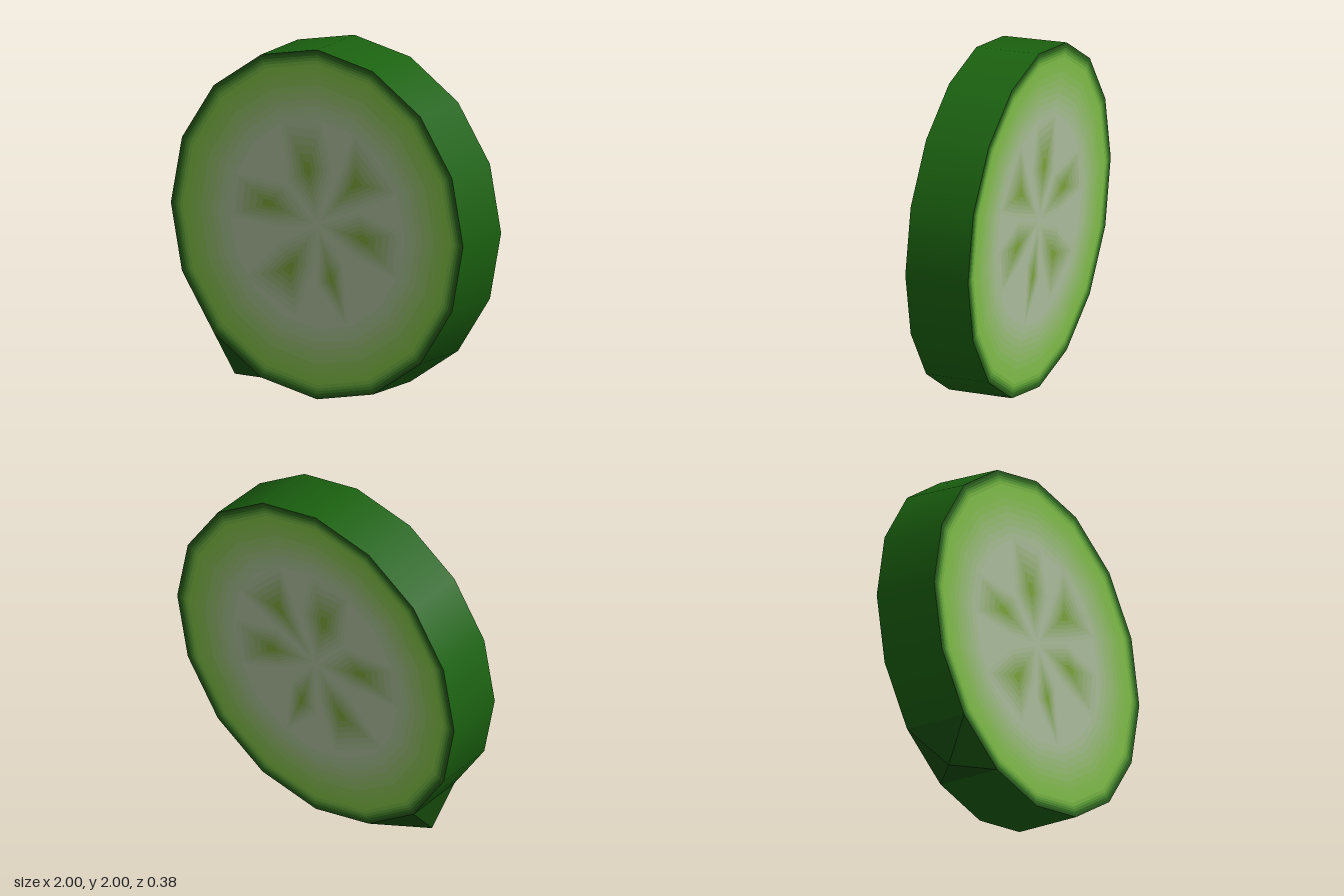
import * as THREE from 'three';

const SIDES = 16;
const FRONT = { x: 0.008, y: 0.993, z: 0.187, r: 0.99 };
const BACK = { x: -0.005, y: 1.003, z: -0.187, r: 0.996 };

// Radius stops of the cut face, from skin to flesh
const STOPS = [
  [1.0, 0x1f4a14], [0.975, 0x2f6a1e], [0.95, 0x579a34], [0.92, 0x7dba44],
  [0.84, 0x82bb4e], [0.72, 0x97bb74], [0.58, 0xaabb9a],
];
const FLESH = new THREE.Color(0xaabb9a);
const SEED = new THREE.Color(0x759f22);

// Seed pockets: core point, then outline, relative to the face centre
const POCKETS = [
  { name: 'topPocket', core: [-0.06, 0.3], pts: [[0, 0.02], [-0.2, 0.22], [-0.24, 0.58], [0.03, 0.58], [0.1, 0.32]] },
  { name: 'upperLeftPocket', core: [0.26, 0.26], pts: [[0.02, 0.02], [0.13, 0.25], [0.26, 0.56], [0.56, 0.25], [0.3, 0.13]] },
  { name: 'leftPocket', core: [0.31, -0.04], pts: [[0.02, 0], [0.28, 0.1], [0.58, 0.02], [0.55, -0.25], [0.24, -0.14]] },
  { name: 'lowerLeftPocket', core: [0.1, -0.3], pts: [[0.01, -0.02], [0.17, -0.2], [0.21, -0.56], [0, -0.34]] },
  { name: 'lowerRightPocket', core: [-0.18, -0.27], pts: [[-0.01, -0.02], [-0.02, -0.22], [-0.14, -0.53], [-0.48, -0.36], [-0.24, -0.13]] },
  { name: 'rightPocket', core: [-0.32, 0.08], pts: [[-0.02, 0], [-0.24, -0.04], [-0.6, -0.03], [-0.57, 0.22], [-0.2, 0.2]] },
];

function part(name, geometry, color, extra = {}) {
  const mesh = new THREE.Mesh(geometry, new THREE.MeshStandardMaterial({ color, ...extra }));
  mesh.name = name;
  return mesh;
}

// Blended colour of the cut face at a given radius
function faceColor(r) {
  for (let i = 1; i < STOPS.length; i++) {
    const [r0, c0] = STOPS[i - 1], [r1, c1] = STOPS[i];
    if (r >= r1) return new THREE.Color(c0).lerp(new THREE.Color(c1), (r0 - r) / (r0 - r1));
  }
  return FLESH.clone();
}

function cutFace(name, at) {
  const side = Math.sign(at.z);
  const face = new THREE.Group();
  face.name = name;

  // Skin and flesh rings around a plain centre
  const radii = [1, 0.985, 0.97, 0.955, 0.94, 0.92, 0.88, 0.84, 0.8, 0.76, 0.72, 0.68, 0.64, 0.6];
  for (let i = 0; i + 1 < radii.length; i++) {
    const ring = new THREE.RingGeometry(radii[i + 1] * at.r, radii[i] * at.r, SIDES);
    face.add(part('fleshRing', ring, faceColor((radii[i] + radii[i + 1]) / 2)));
  }
  face.add(part('fleshCentre', new THREE.CircleGeometry(0.6 * at.r, SIDES), FLESH));

  // Seed pockets, deepening in colour towards their cores
  const layers = 6;
  for (const { name: pocketName, core, pts } of POCKETS) {
    const pocket = new THREE.Group();
    pocket.name = pocketName;
    for (let i = 0; i < layers; i++) {
      const k = 1 - i / layers;
      const outline = pts.map(([x, y]) => new THREE.Vector2(
        side * (core[0] + (x - core[0]) * k), core[1] + (y - core[1]) * k));
      const layer = part('seedPocketLayer', new THREE.ShapeGeometry(new THREE.Shape(outline)),
        FLESH.clone().lerp(SEED, (i + 0.5) / layers));
      layer.position.z = 0.0006 * (i + 1);
      pocket.add(layer);
    }
    face.add(pocket);
  }
  face.position.set(at.x, at.y, at.z);
  if (side < 0) face.rotation.y = Math.PI;
  return face;
}

// Rim corner number i on the front or back edge
function corner(at, i) {
  const a = (i / SIDES) * Math.PI * 2;
  return [at.x + at.r * Math.cos(a), at.y + at.r * Math.sin(a), at.z];
}

export function createModel() {
  const group = new THREE.Group();
  group.name = 'cucumberSlice';

  // Skin: open cylinder, slightly skewed between its two edges
  const skin = new THREE.CylinderGeometry(FRONT.r, BACK.r, FRONT.z - BACK.z, SIDES, 1, true);
  skin.rotateX(Math.PI / 2);
  const pos = skin.attributes.position;
  for (let i = 0; i < pos.count; i++) {
    const at = pos.getZ(i) > 0 ? FRONT : BACK;
    pos.setXY(i, pos.getX(i) + at.x, pos.getY(i) + at.y);
  }
  group.add(part('skin', skin, 0x1b6210));

  group.add(cutFace('frontFace', FRONT), cutFace('backFace', BACK));

  // Pointed nub of skin on the lower right panel
  const nub = new THREE.BufferGeometry();
  nub.setAttribute('position', new THREE.Float32BufferAttribute([
    ...corner(FRONT, 10), ...corner(FRONT, 11), ...corner(BACK, 11), ...corner(BACK, 10),
    -0.645, 0.04, 0.05], 3));
  nub.setIndex([0, 4, 1, 1, 4, 2, 2, 4, 3, 3, 4, 0]);
  const flatNub = nub.toNonIndexed();
  flatNub.computeVertexNormals();
  group.add(part('skinNub', flatNub, 0x174f0f, { side: THREE.DoubleSide }));

  return group;
}
